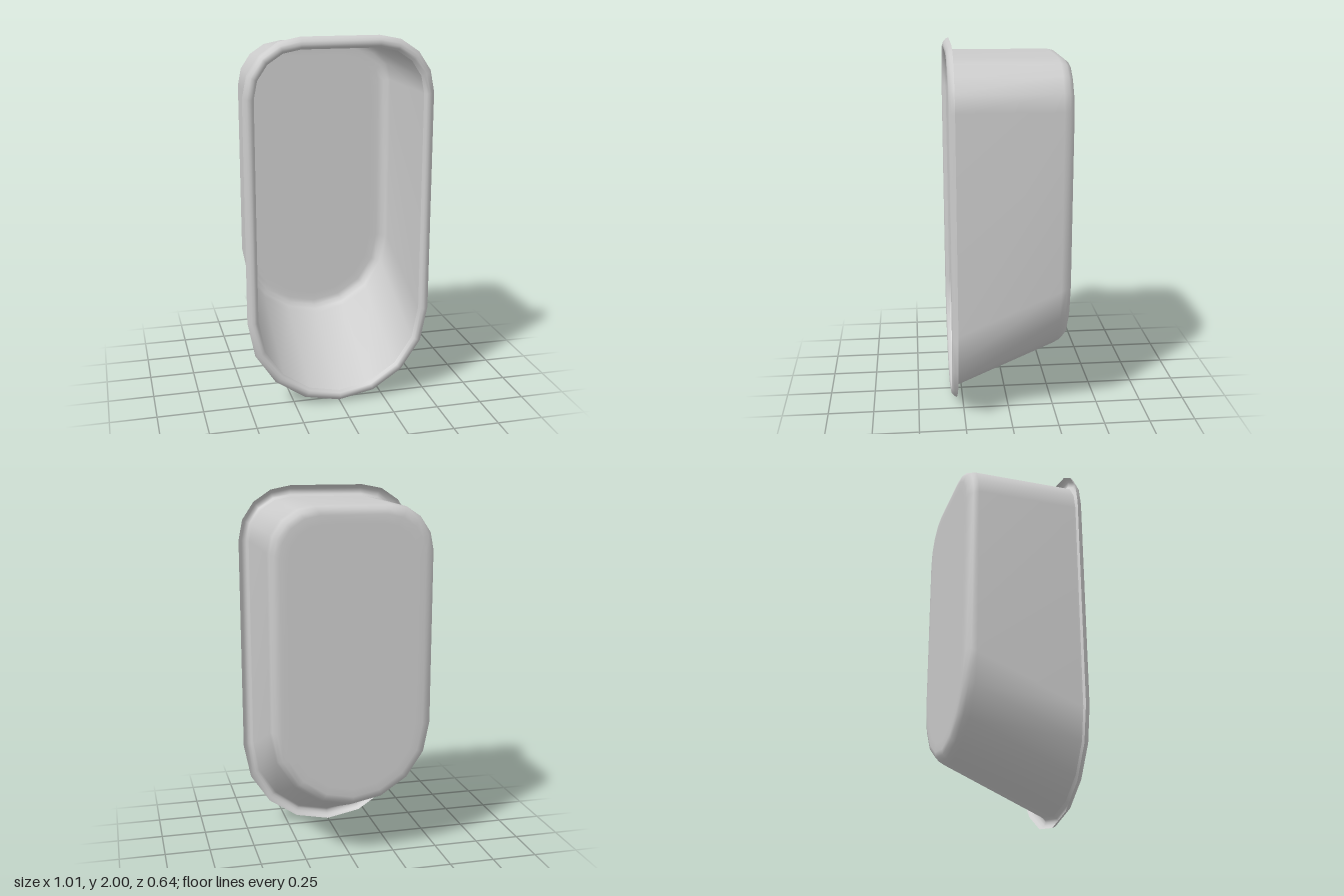
import * as THREE from 'three';

// Outline seen from the front: rounded top corners, half-round bottom.
function outline({ w, top, bottom, r, z }) {
  const pts = [];
  const arc = (cx, cy, rad, from, to, n) => {
    for (let i = 0; i <= n; i++) {
      const a = THREE.MathUtils.lerp(from, to, i / n) * Math.PI;
      pts.push([cx + rad * Math.cos(a), cy + rad * Math.sin(a), z]);
    }
  };
  arc(w - r, top - r, r, 0, 0.5, 4);
  arc(r - w, top - r, r, 0.5, 1, 4);
  arc(0, bottom + w, w, 1, 2, 8);
  return pts;
}

// Skin a row of outlines, optionally closing the last one with a fan.
function loft(name, sections, material, capped) {
  const rings = sections.map(outline);
  const n = rings[0].length;
  const pos = rings.flat(2);
  const index = [];
  for (let i = 0; i < rings.length - 1; i++) {
    for (let j = 0; j < n; j++) {
      const k = (j + 1) % n;
      const a = i * n + j, b = i * n + k, c = a + n, d = b + n;
      index.push(a, b, d, a, d, c);
    }
  }
  if (capped) {
    const last = sections[sections.length - 1];
    const base = (rings.length - 1) * n;
    pos.push(0, (last.top + last.bottom) / 2, last.z);
    for (let j = 0; j < n; j++) index.push(base + j, base + (j + 1) % n, base + n);
  }
  const geometry = new THREE.BufferGeometry();
  geometry.setAttribute('position', new THREE.Float32BufferAttribute(pos, 3));
  geometry.setIndex(index);
  geometry.computeVertexNormals();
  const mesh = new THREE.Mesh(geometry, material);
  mesh.name = name;
  return mesh;
}

export function createModel() {
  const group = new THREE.Group();
  group.name = 'recessedBasin';
  const material = new THREE.MeshStandardMaterial({ color: 0xcccccc, side: THREE.DoubleSide });

  // Rolled lip around the opening, hollow at the back
  const rim = [[0, 0.285], [0.008, 0.301], [0.02, 0.313], [0.035, 0.318], [0.048, 0.312], [0.058, 0.295]]
    .map(([d, z]) => ({ w: 0.505 - d, top: 2 - d * 1.08, bottom: d * 1.08, r: 0.3 - d, z }));
  group.add(loft('rim', rim, material, false));

  // Thin tapering wall, sloped underside, rounded edge and flat floor
  group.add(loft('basin', [
    rim[rim.length - 1],
    { w: 0.446, top: 1.937, bottom: 0.067, r: 0.242, z: 0.285 },
    { w: 0.441, top: 1.932, bottom: 0.305, r: 0.24, z: -0.26 },
    { w: 0.434, top: 1.925, bottom: 0.321, r: 0.235, z: -0.29 },
    { w: 0.414, top: 1.907, bottom: 0.34, r: 0.225, z: -0.312 },
    { w: 0.385, top: 1.88, bottom: 0.368, r: 0.21, z: -0.318 },
    { w: 0.34, top: 1.835, bottom: 0.413, r: 0.18, z: -0.318 },
  ], material, true));

  return group;
}
